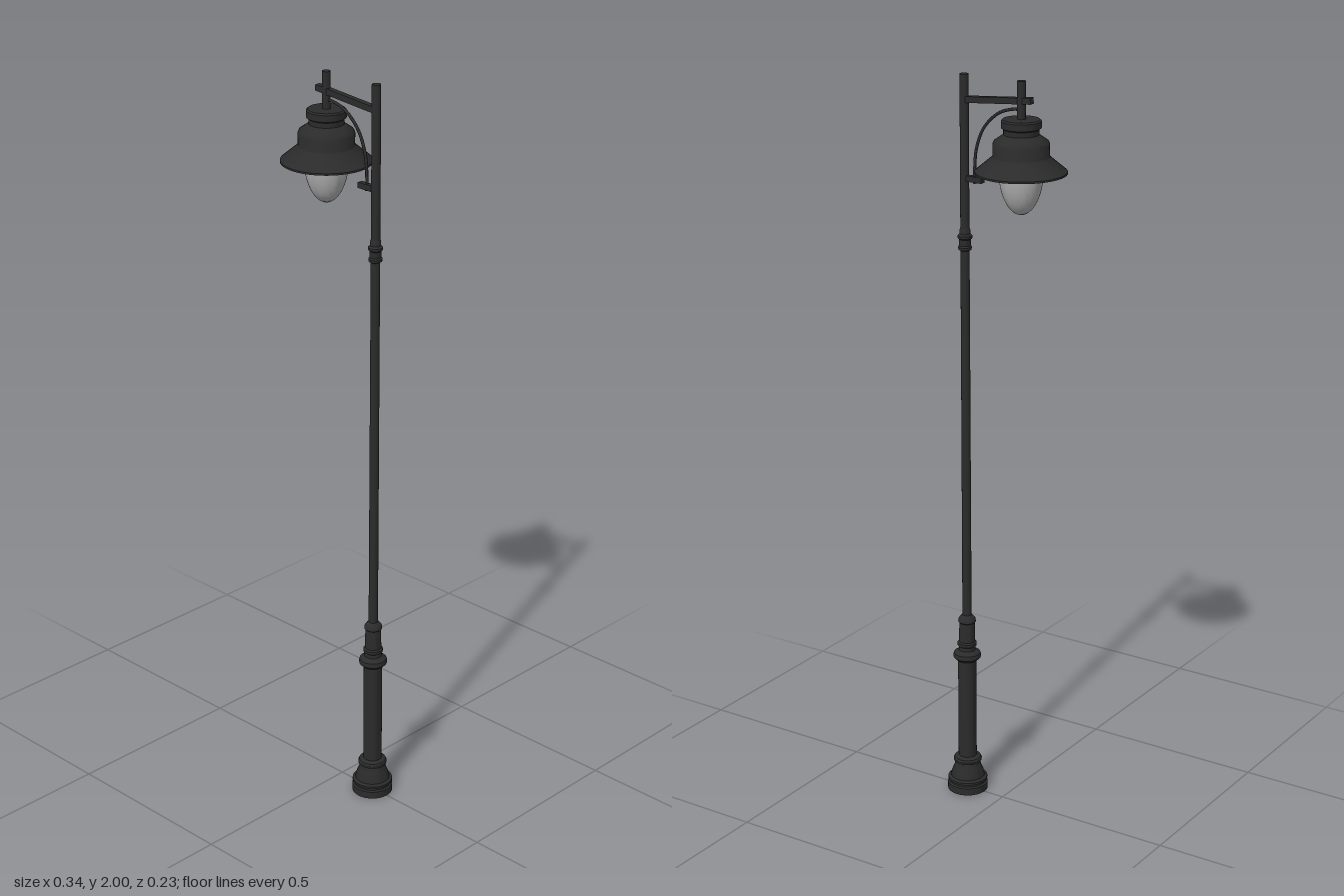
import * as THREE from 'three';
import { toCreasedNormals } from 'three/addons/utils/BufferGeometryUtils.js';

export function createModel() {
  const model = new THREE.Group();
  model.name = 'streetLamp';

  const iron = new THREE.MeshStandardMaterial({ color: 0x2b2b2b, side: THREE.DoubleSide });
  iron.name = 'dark iron';
  const glass = new THREE.MeshStandardMaterial({ color: 0xb0b0b0, side: THREE.DoubleSide });
  glass.name = 'frosted glass';

  const POLE_X = 0.115;
  const LAMP_X = -0.056;

  function add(name, geometry, material, x = 0, y = 0) {
    const mesh = new THREE.Mesh(geometry, material);
    mesh.name = name;
    mesh.position.set(x, y, 0);
    model.add(mesh);
    return mesh;
  }

  // Turned part from [radius, height] pairs, listed from bottom to top
  function turned(name, profile, material, x) {
    const points = profile.map(([r, y]) => new THREE.Vector2(r, y));
    return add(name, toCreasedNormals(new THREE.LatheGeometry(points, 40), 0.6), material, x);
  }

  // Square bar between two points in the plane of the arm
  function bar(name, x1, y1, x2, y2, size) {
    const geometry = new THREE.BoxGeometry(Math.hypot(x2 - x1, y2 - y1), size, size);
    const mesh = add(name, geometry, iron, (x1 + x2) / 2, (y1 + y2) / 2);
    mesh.rotation.z = Math.atan2(y2 - y1, x2 - x1);
  }

  // Stepped foot
  turned('base', [
    [0, 0], [0.055, 0], [0.055, 0.02], [0.05, 0.023], [0.05, 0.028], [0.054, 0.03],
    [0.054, 0.036], [0.046, 0.04], [0.044, 0.052], [0.036, 0.072], [0.033, 0.082],
    [0.038, 0.085], [0.039, 0.091], [0.036, 0.097], [0.025, 0.102],
  ], iron, POLE_X);

  // Thick lower column with its rings
  turned('lowerColumn', [
    [0.025, 0.1], [0.025, 0.388], [0.031, 0.392], [0.037, 0.398], [0.038, 0.404],
    [0.036, 0.411], [0.029, 0.416], [0.023, 0.42], [0.022, 0.43], [0.026, 0.433],
    [0.026, 0.441], [0.022, 0.445], [0.021, 0.5], [0.024, 0.503], [0.023, 0.511],
    [0.017, 0.519], [0.012, 0.523],
  ], iron, POLE_X);

  add('pole', new THREE.CylinderGeometry(0.0115, 0.0125, 1.5, 24), iron, POLE_X, 1.25);

  // Collar high on the pole
  turned('collar', [
    [0.012, 1.542], [0.017, 1.545], [0.018, 1.552], [0.015, 1.556], [0.015, 1.572],
    [0.019, 1.576], [0.019, 1.582], [0.014, 1.587], [0.014, 1.597], [0.012, 1.602],
  ], iron, POLE_X);

  // Bracket: top arm, short lower bar and curved brace
  bar('arm', -0.087, 1.953, POLE_X, 1.935, 0.016);
  bar('lowerBar', 0.06, 1.733, POLE_X, 1.733, 0.015);
  const brace = new THREE.CatmullRomCurve3([
    [-0.056, 1.928], [-0.03, 1.926], [0.012, 1.911], [0.055, 1.87], [0.078, 1.815], [0.084, 1.76], [0.084, 1.722],
  ].map(([x, y]) => new THREE.Vector3(x, y, 0)));
  add('brace', new THREE.TubeGeometry(brace, 40, 0.004, 8), iron);

  add('hangerRod', new THREE.CylinderGeometry(0.011, 0.011, 0.1, 20), iron, LAMP_X, 1.95);

  // Stepped hood flaring to an open rim
  turned('hood', [
    [0.055, 1.772], [0.112, 1.767], [0.117, 1.767], [0.117, 1.772], [0.074, 1.808],
    [0.072, 1.812], [0.072, 1.842], [0.069, 1.849], [0.05, 1.862], [0.045, 1.866],
    [0.045, 1.879], [0.051, 1.883], [0.051, 1.9], [0.047, 1.904], [0, 1.905],
  ].slice(2), iron, LAMP_X);
  turned('hoodLining', [
    [0.117, 1.767], [0.072, 1.803], [0.068, 1.808], [0, 1.808],
  ], iron, LAMP_X);

  // Egg-shaped globe
  const globe = [];
  for (let i = 0; i <= 16; i++) {
    const a = (i / 16) * Math.PI / 2;
    globe.push([0.057 * Math.sin(a), 1.775 - 0.115 * Math.cos(a)]);
  }
  globe.push([0.057, 1.808]);
  turned('globe', globe, glass, LAMP_X);

  return model;
}
